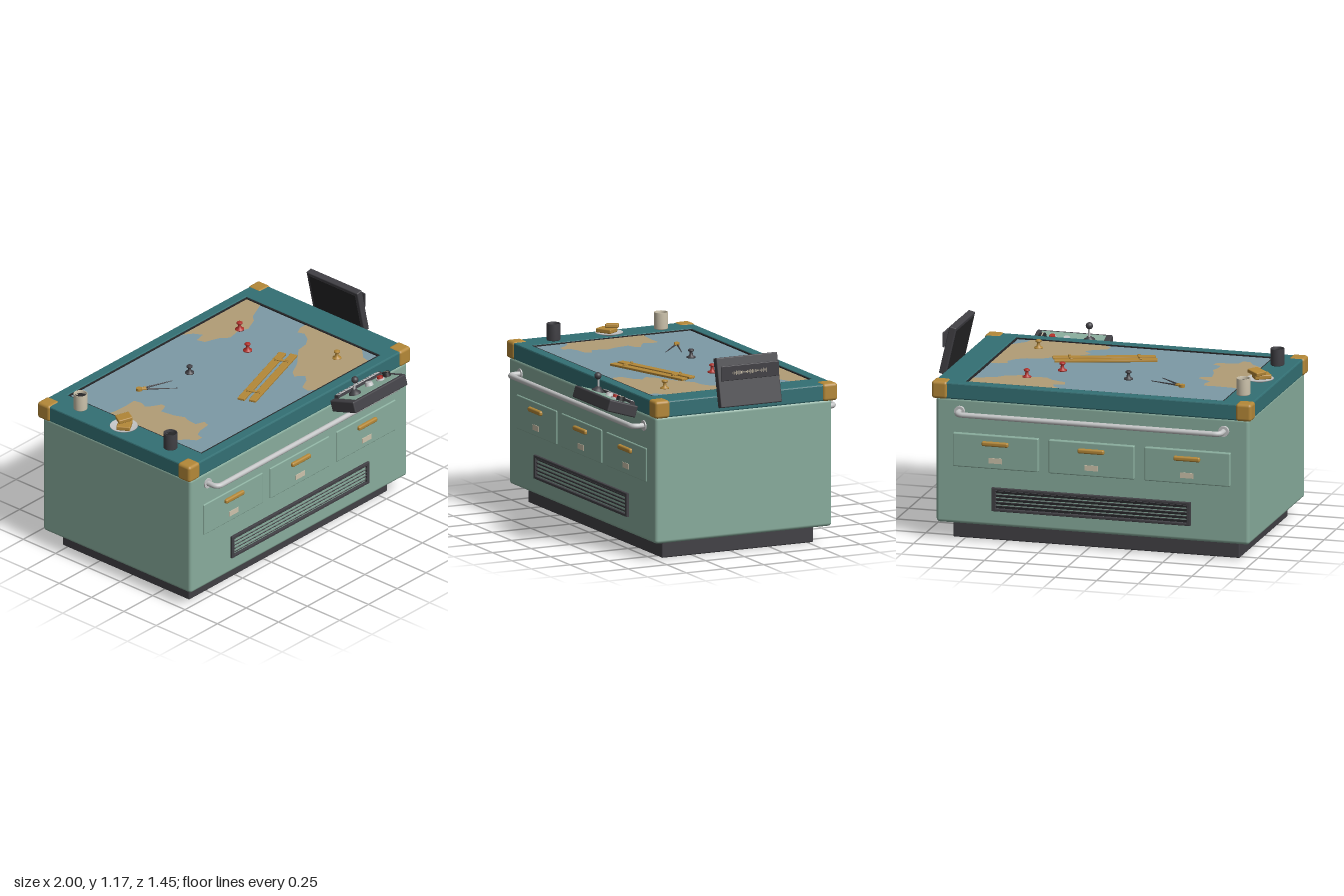
import * as THREE from 'three';
import { RoundedBoxGeometry } from 'three/addons/geometries/RoundedBoxGeometry.js';

const mat = (name, color) => Object.assign(new THREE.MeshStandardMaterial({ color }), { name });
const M = {
  mint: mat('mint', 0x88ac9c), teal: mat('teal', 0x33707a & 0xffffff), gold: mat('gold', 0xb48838),
  dark: mat('charcoal', 0x414045), black: mat('black', 0x262628), silver: mat('silver', 0xc4c5c6),
  red: mat('red', 0xb2302a), cream: mat('cream', 0xcdc3ac), water: mat('water', 0x7d9aa6), land: mat('land', 0xb29d76),
};
M.teal.color.set(0x337074);

const CX = -0.0375, CZ = -0.055, MAP_Y = 0.934, TOP_Y = 0.945;

function add(parent, name, geo, material, p = [0, 0, 0], r = [0, 0, 0]) {
  const m = new THREE.Mesh(geo, material);
  m.name = name;
  m.position.set(...p);
  m.rotation.set(...r);
  parent.add(m);
  return m;
}
function group(parent, name, p = [0, 0, 0], r = [0, 0, 0]) {
  const g = new THREE.Group();
  g.name = name;
  g.position.set(...p);
  g.rotation.set(...r);
  parent.add(g);
  return g;
}
const box = (w, h, d) => new THREE.BoxGeometry(w, h, d);
const rbox = (w, h, d, r) => new RoundedBoxGeometry(w, h, d, 3, r);
const cyl = (a, b, h, n = 24) => new THREE.CylinderGeometry(a, b, h, n);
const lathe = (pts, n = 28) => new THREE.LatheGeometry(pts.map(p => new THREE.Vector2(...p)), n);

// Thin rod between two points
function rod(parent, name, a, b, r0, r1, material) {
  const A = new THREE.Vector3(...a), B = new THREE.Vector3(...b), d = B.clone().sub(A);
  const m = add(parent, name, cyl(r1, r0, d.length(), 10), material, A.clone().add(B).multiplyScalar(0.5).toArray());
  m.quaternion.setFromUnitVectors(new THREE.Vector3(0, 1, 0), d.normalize());
}

function rectPath(Type, w, h) {
  const s = new Type();
  s.moveTo(-w / 2, -h / 2);
  s.lineTo(w / 2, -h / 2);
  s.lineTo(w / 2, h / 2);
  s.lineTo(-w / 2, h / 2);
  s.closePath();
  return s;
}
// Bordered frame lying in XY, extruded along +z
function frame(w, h, iw, ih, depth, bevel) {
  const s = rectPath(THREE.Shape, w - 2 * bevel, h - 2 * bevel);
  s.holes.push(rectPath(THREE.Path, iw + 2 * bevel, ih + 2 * bevel));
  const g = new THREE.ExtrudeGeometry(s, { depth: depth - 2 * bevel, bevelEnabled: bevel > 0, bevelThickness: bevel, bevelSize: bevel, bevelSegments: 2 });
  return g.translate(0, 0, bevel);
}

// Drawers, vent and rail of one long side, in a frame centred on the cabinet
function buildLongSide(parent, name, turn) {
  const g = group(parent, name, [CX, 0, CZ], [0, turn, 0]);
  const face = 0.571;
  for (const x of [-0.577, 0, 0.577]) {
    add(g, 'drawerFront', rbox(0.515, 0.2, 0.03, 0.007), M.mint, [x, 0.55, face + 0.002]);
    add(g, 'drawerHandle', rbox(0.16, 0.028, 0.026, 0.01), M.gold, [x, 0.6, face + 0.022]);
    add(g, 'drawerLabel', box(0.08, 0.032, 0.005), M.cream, [x, 0.5, face + 0.018]);
  }
  add(g, 'ventFrame', frame(1.195, 0.14, 1.15, 0.108, 0.02, 0.003), M.dark, [0, 0.27, face + 0.004]);
  for (let i = 0; i < 5; i++)
    add(g, 'ventSlat', box(1.16, 0.004, 0.026), M.dark, [0, 0.226 + i * 0.022, face + 0.011], [-0.8, 0, 0]);
  // Rail bent at both ends
  const e = 0.795, z0 = face - 0.01, z1 = 0.655, c = 0.04, path = new THREE.CurvePath(), V = (x, z) => new THREE.Vector3(x, 0.778, z);
  path.add(new THREE.LineCurve3(V(-e, z0), V(-e, z1 - c)));
  path.add(new THREE.QuadraticBezierCurve3(V(-e, z1 - c), V(-e, z1), V(c - e, z1)));
  path.add(new THREE.LineCurve3(V(c - e, z1), V(e - c, z1)));
  path.add(new THREE.QuadraticBezierCurve3(V(e - c, z1), V(e, z1), V(e, z1 - c)));
  path.add(new THREE.LineCurve3(V(e, z1 - c), V(e, z0)));
  add(g, 'rail', new THREE.TubeGeometry(path, 160, 0.016, 14), M.silver);
  for (const s of [-1, 1])
    add(g, 'railFlange', cyl(0.031, 0.031, 0.018), M.silver, [s * e, 0.778, face + 0.007], [Math.PI / 2, 0, 0]);
}

function buildMap(parent) {
  const g = group(parent, 'mapTable');
  const x = -0.04, z = -0.055;
  add(g, 'mapRim', frame(1.57, 1.05, 1.535, 1.015, 0.02, 0), M.black, [x, 0.921, z], [-Math.PI / 2, 0, 0]);
  add(g, 'sea', box(1.56, 0.05, 1.04), M.water, [x, MAP_Y - 0.025, z]);
  const lands = {
    westLand: [[-.807, -.26], [-.77, -.25], [-.67, -.245], [-.6, -.25], [-.59, -.2], [-.61, -.155], [-.58, -.13], [-.525, -.1], [-.53, -.07], [-.59, -.05], [-.585, -.02], [-.575, .04], [-.55, .1], [-.565, .14], [-.57, .2], [-.515, .22], [-.53, .26], [-.61, .27], [-.655, .29], [-.665, .335], [-.71, .33], [-.74, .28], [-.79, .24], [-.807, .24]],
    northLand: [[.165, -.56], [.22, -.52], [.245, -.47], [.175, -.455], [.19, -.405], [.275, -.375], [.325, -.33], [.43, -.35], [.47, -.32], [.565, -.36], [.6, -.4], [.727, -.455], [.727, -.56]],
    southLand: [[.727, -.105], [.68, -.105], [.63, -.08], [.645, -.04], [.61, .015], [.555, .05], [.48, .06], [.4, .125], [.35, .165], [.26, .21], [.23, .25], [.275, .295], [.24, .335], [.165, .37], [.155, .42], [.2, .452], [.65, .452], [.66, .4], [.7, .36], [.727, .33]],
  };
  for (const [name, pts] of Object.entries(lands)) {
    const s = new THREE.Shape(pts.map(p => new THREE.Vector2(p[0], -p[1])));
    add(g, name, new THREE.ShapeGeometry(s), M.land, [0, MAP_Y + 0.002, 0], [-Math.PI / 2, 0, 0]);
  }
}

function buildMapTools(parent) {
  // Marker pawns
  const pawn = [[0, 0], [.026, 0], [.026, .007], [.012, .013], [.008, .034], [.017, .04], [.018, .047], [.012, .052], [0, .053]];
  for (const [x, z, m] of [[.435, -.355, M.red], [.28, -.155, M.red], [-.14, -.23, M.dark], [.555, .29, M.gold]])
    add(parent, 'marker', lathe(pawn), m, [x, MAP_Y, z]);
  // Parallel ruler
  const r = group(parent, 'parallelRuler', [.112, MAP_Y + 0.007, .147], [0, 0.31, 0]);
  for (const s of [-1, 1]) {
    add(r, 'rulerBar', rbox(0.595, 0.014, 0.045, 0.003), M.gold, [s * 0.004, 0, s * 0.034]);
    add(r, 'rulerLink', rbox(0.018, 0.008, 0.085, 0.003), M.gold, [s * 0.2, 0.01, 0], [0, 0.12, 0]);
    for (const t of [-1, 1]) add(r, 'rulerPivot', cyl(0.008, 0.008, 0.006, 12), M.gold, [s * 0.2 + t * 0.004, 0.015, t * 0.032]);
  }
  // Dividers
  const d = group(parent, 'dividers'), y = MAP_Y + 0.008;
  add(d, 'dividerHinge', cyl(0.017, 0.017, 0.016, 16), M.gold, [-.487, y, -.312]);
  for (const [x, z] of [[-.325, -.16], [-.28, -.24]]) {
    rod(d, 'dividerLeg', [-.487, y, -.312], [x, y - 0.004, z], 0.006, 0.002, M.dark);
    const k = 0.2;
    rod(d, 'dividerShoulder', [-.487, y, -.312], [-.487 + k * (x + .487), y, -.312 + k * (z + .312)], 0.008, 0.007, M.gold);
  }
}

function buildSnacks(parent) {
  const mug = [[0, 0], [.037, 0], [.041, .005], [.041, .098], [.039, .1], [.035, .098], [.035, .078]];
  for (const [name, z, m] of [['darkMug', .285, M.dark], ['creamMug', -.41, M.cream]]) {
    const g = group(parent, name, [-.885, TOP_Y, z]);
    add(g, 'mugBody', lathe(mug), m);
    add(g, 'drink', cyl(.036, .036, .004), M.black, [0, .08, 0]);
    add(g, 'mugHandle', new THREE.TorusGeometry(.026, .007, 8, 16, Math.PI), m, [0, .052, -.034], [0, Math.PI / 2, Math.PI / 2]).rotation.order = 'YXZ';
  }
  const p = group(parent, 'snackPlate', [-.885, TOP_Y, -.075]);
  add(p, 'plate', lathe([[0, 0], [.05, 0], [.082, .011], [.08, .014], [.05, .006], [0, .006]], 32), M.silver);
  add(p, 'lowerSlice', rbox(.1, .026, .08, .006), M.gold, [-.008, .024, .012], [0, .55, 0]);
  add(p, 'upperSlice', rbox(.085, .024, .075, .006), M.gold, [.014, .052, -.012], [0, -.55, .15]);
}

function buildMonitor(parent) {
  const g = group(parent, 'monitor', [.945, 1.027, -.05], [0, 0, .225]);
  add(g, 'monitorCase', rbox(.042, .29, .395, .006), M.dark);
  add(g, 'monitorScreen', box(.006, .25, .355), M.black, [-.02, 0, 0]);
  // Upright display strip on the outer face
  const d = group(parent, 'displayStrip', [.974, 1.086, -.05]);
  add(d, 'stripPanel', rbox(.01, .088, .375, .004), M.dark);
  add(d, 'stripMount', box(.04, .03, .2), M.dark, [-.02, 0, 0]);
  for (let i = 0; i < 28; i++) {
    const h = .006 + .022 * Math.abs(Math.sin(i * 1.7) * Math.sin(i * .29 + .3));
    add(d, 'traceBar', box(.003, h, .004), M.cream, [.0055, 0, .114 - i * .008]);
  }
}

function buildConsole(parent) {
  const g = group(parent, 'controlConsole', [.457, .872, .625], [-.3, 0, 0]);
  add(g, 'consoleCase', rbox(.455, .07, .19, .008), M.dark);
  add(g, 'consolePanel', box(.385, .006, .13), M.mint, [0, .035, .012]);
  add(g, 'gaugeHousing', box(.38, .02, .036), M.dark, [0, .042, -.074]);
  add(g, 'gaugeFace', box(.355, .004, .024), M.silver, [0, .053, -.074]);
  for (let i = 0; i < 15; i++) add(g, 'gaugeTick', box(.004, .002, i % 5 ? .01 : .018), M.dark, [-.16 + i * .0229, .0555, -.074]);
  // Joystick
  const j = group(g, 'joystick', [-.112, .037, .004]);
  add(j, 'joystickBoot', lathe([[.036, 0], [.034, .01], [.022, .018], [.014, .03], [0, .032]]), M.dark);
  const s = group(j, 'joystickLever', [0, .02, 0], [.3, 0, 0]);
  add(s, 'lever', cyl(.006, .007, .08, 12), M.silver, [0, .03, 0]);
  add(s, 'leverBall', new THREE.SphereGeometry(.021, 20, 14), M.dark, [0, .074, .004]);
  // Knobs and push button
  add(g, 'silverKnob', cyl(.02, .026, .022), M.silver, [.022, .047, -.005]);
  add(g, 'buttonCollar', cyl(.025, .026, .01), M.silver, [.11, .042, .002]);
  add(g, 'redButton', cyl(.017, .019, .022), M.red, [.11, .05, .002]);
  add(g, 'dial', cyl(.022, .026, .026), M.black, [.168, .05, 0]);
  add(g, 'dialPointer', box(.005, .003, .036), M.cream, [.168, .064, 0]);
}

export function createModel() {
  const root = new THREE.Group();
  root.name = 'chartTable';
  // Cabinet
  add(root, 'plinth', rbox(1.725, .11, .98, .008), M.dark, [CX, .055, CZ + .008]);
  add(root, 'cabinetBody', rbox(1.885, .75, 1.142, .02), M.mint, [CX, .478, -.046]);
  // Table edge with capped corners
  add(root, 'tableFrame', frame(1.905, 1.165, 1.55, 1.03, .097, .008), M.teal, [CX, .848, CZ], [-Math.PI / 2, 0, 0]);
  for (const sx of [-1, 1]) for (const sz of [-1, 1])
    add(root, 'cornerCap', rbox(.096, .104, .096, .018), M.gold, [CX + sx * .915, .898, CZ + sz * .542]);
  buildLongSide(root, 'frontSide', 0);
  buildLongSide(root, 'backSide', Math.PI);
  buildMap(root);
  buildMapTools(root);
  buildSnacks(root);
  buildMonitor(root);
  buildConsole(root);
  return root;
}
